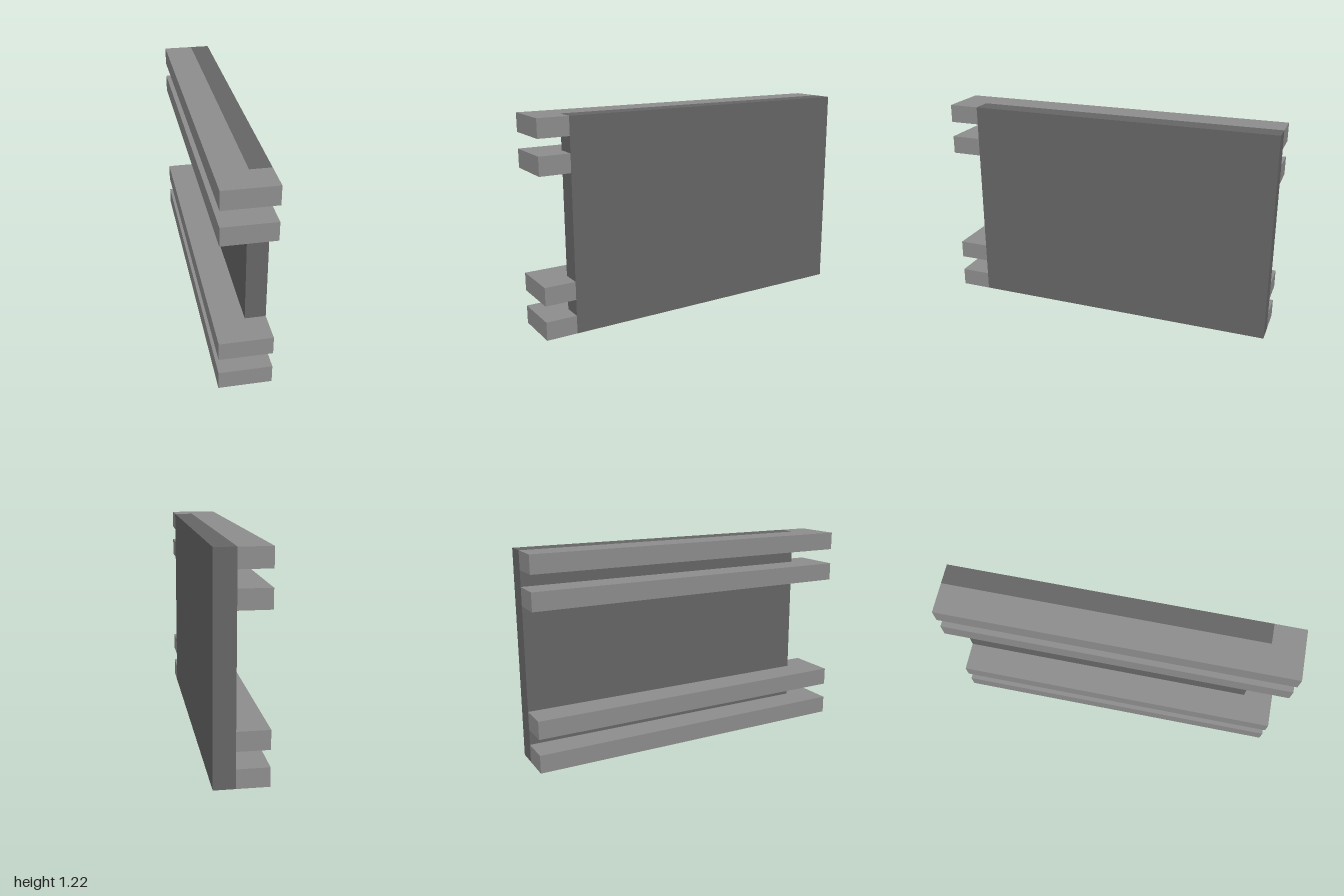
import * as THREE from 'three';

const OUTER = 0.147, INNER = 0.03, PANEL_FRONT = 0.82;
const RAIL_HEIGHT = 0.106, HEIGHT = 1.22;

export function createModel() {
  const model = new THREE.Group();
  model.name = 'railedPanel';

  const railGrey = new THREE.MeshStandardMaterial({ color: 0x8c8c8c });
  railGrey.name = 'light grey';
  const panelGrey = new THREE.MeshStandardMaterial({ color: 0x656565 });
  panelGrey.name = 'dark grey';

  // Upright slab
  const panel = new THREE.Mesh(
    new THREE.BoxGeometry(OUTER - INNER, HEIGHT, 1 + PANEL_FRONT), panelGrey);
  panel.name = 'panel';
  panel.position.set((OUTER + INNER) / 2, HEIGHT / 2, (PANEL_FRONT - 1) / 2);
  model.add(panel);

  // L-shaped rail plan: runs along the panel and hooks around its front edge
  const plan = new THREE.Shape([
    [-OUTER, -1], [OUTER, -1], [OUTER, -PANEL_FRONT],
    [INNER, -PANEL_FRONT], [INNER, 1], [-OUTER, 1],
  ].map(([x, y]) => new THREE.Vector2(x, y)));
  const railGeometry = new THREE.ExtrudeGeometry(plan, { depth: RAIL_HEIGHT, bevelEnabled: false });
  railGeometry.rotateX(-Math.PI / 2);

  // Two pairs of rails, at the bottom and the top
  [0, 0.2, 0.916, HEIGHT - RAIL_HEIGHT].forEach((y, i) => {
    const rail = new THREE.Mesh(railGeometry, railGrey);
    rail.name = `rail${i + 1}`;
    rail.position.y = y;
    model.add(rail);
  });

  return model;
}
